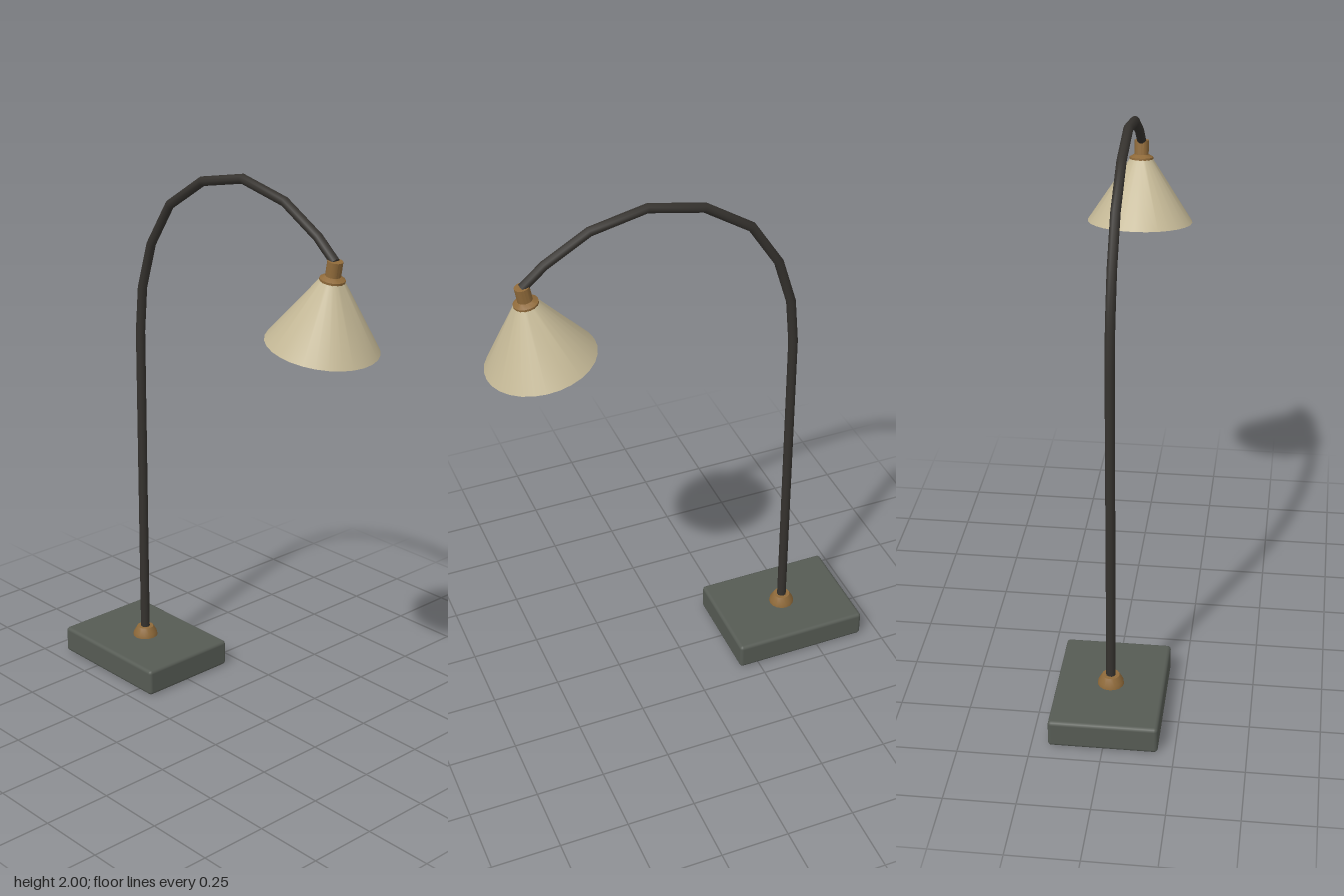
import * as THREE from 'three';
import { RoundedBoxGeometry } from 'three/addons/geometries/RoundedBoxGeometry.js';
import { toCreasedNormals } from 'three/addons/utils/BufferGeometryUtils.js';

const mat = (color, side = THREE.FrontSide) => new THREE.MeshStandardMaterial({ color, side });

function lathe(points, sides) {
  const g = new THREE.LatheGeometry(points.map(([r, y]) => new THREE.Vector2(r, y)), sides);
  return toCreasedNormals(g, 0.6);
}

function part(parent, name, geometry, material, x = 0, y = 0, z = 0) {
  const mesh = new THREE.Mesh(geometry, material);
  mesh.name = name;
  mesh.position.set(x, y, z);
  parent.add(mesh);
  return mesh;
}

export function createModel() {
  const lamp = new THREE.Group();
  lamp.name = 'arcLamp';
  const stone = mat(0x565b54), iron = mat(0x35322e), brass = mat(0x8f6a3a);
  const cloth = mat(0xc4b896, THREE.DoubleSide), glass = mat(0xeee4c4);
  const poleX = -0.43;

  // Heavy slab with softened edges
  part(lamp, 'base', new RoundedBoxGeometry(0.51, 0.1, 0.384, 2, 0.013), stone, poleX, 0.05);

  // Brass collar where the pole meets the slab
  part(lamp, 'collar', lathe([[0, 0], [0.047, 0], [0.045, 0.013], [0.031, 0.037], [0, 0.037]], 16), brass, poleX, 0.1);

  // Upright and arched arm: one ring of the tube at each bend
  const bends = [[poleX, 0.1], [poleX, 0.7], [poleX, 1.33], [-0.415, 1.5], [-0.363, 1.67], [-0.26, 1.83],
    [-0.09, 1.941], [0.11, 1.983], [0.31, 1.941], [0.465, 1.852], [0.543, 1.785]];
  const path = new THREE.CatmullRomCurve3(bends.map(([x, y]) => new THREE.Vector3(x, y, 0)));
  path.getPointAt = (u, target) => path.getPoint(u, target);
  path.getTangentAt = (u, target) => path.getTangent(u, target);
  part(lamp, 'pole', new THREE.TubeGeometry(path, bends.length - 1, 0.017, 10), iron);
  const tip = part(lamp, 'poleTip', new THREE.CircleGeometry(0.017, 10), iron, 0.543, 1.785);
  tip.lookAt(new THREE.Vector3(0.543, 1.785, 0).add(path.getTangent(1)));

  // Tilted lamp head; its origin is the centre of the shade rim
  const head = new THREE.Group();
  head.name = 'head';
  head.position.set(0.494, 1.497, 0);
  head.rotation.z = -0.17;
  lamp.add(head);
  part(head, 'shade', lathe([[0.192, 0], [0.041, 0.231]], 28), cloth);
  part(head, 'socket', lathe([[0, 0.225], [0.043, 0.225], [0.043, 0.236], [0.026, 0.246], [0.026, 0.297], [0, 0.297]], 16), brass);
  part(head, 'bulbHolder', new THREE.CylinderGeometry(0.022, 0.022, 0.16, 12), brass, 0, 0.15);
  part(head, 'bulb', new THREE.SphereGeometry(0.038, 16, 12), glass, 0, 0.028).scale.y = 1.65;

  return lamp;
}
